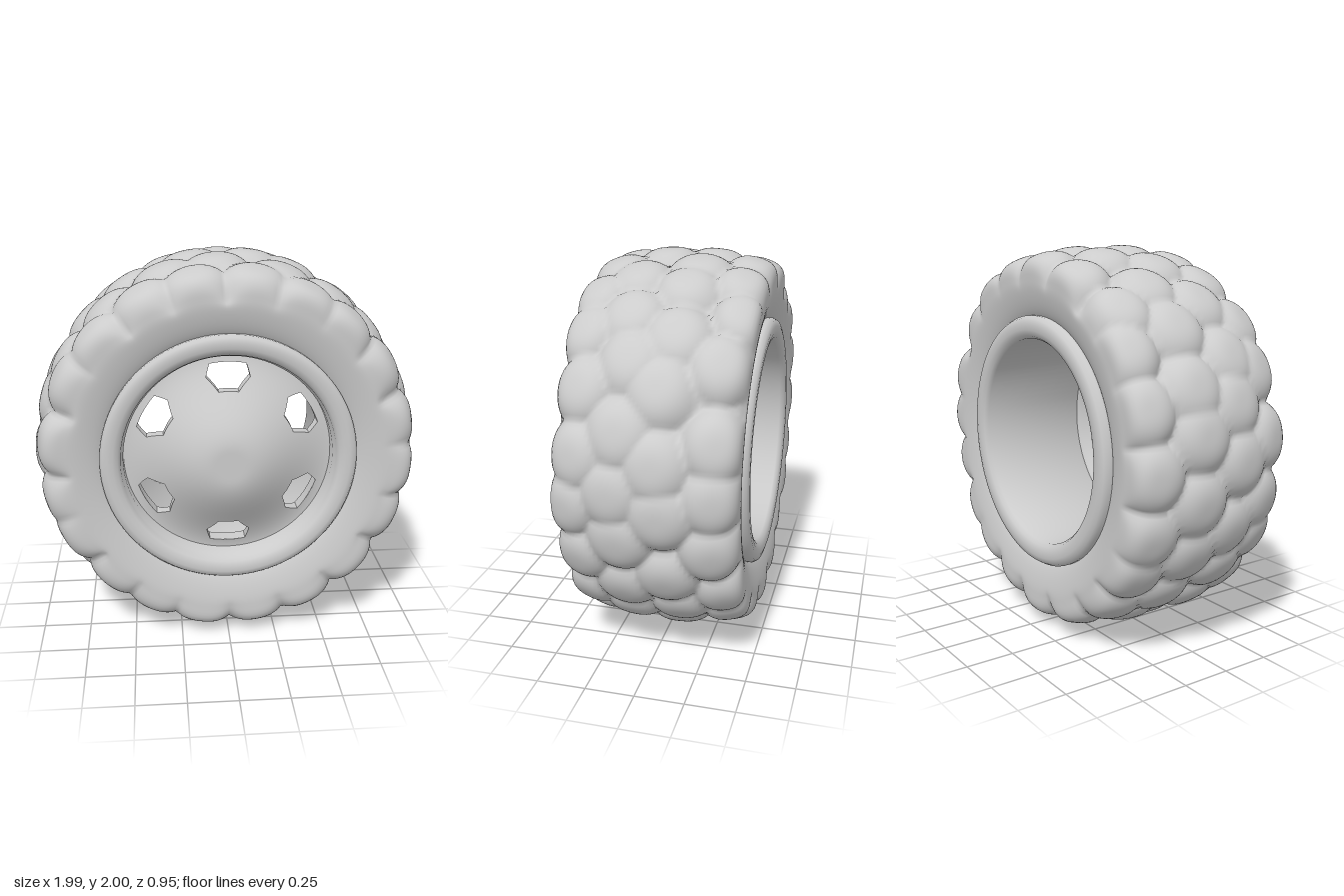
import * as THREE from 'three';
import { mergeVertices, toCreasedNormals } from 'three/addons/utils/BufferGeometryUtils.js';
import { ParametricGeometry } from 'three/addons/geometries/ParametricGeometry.js';

const { smoothstep, lerp } = THREE.MathUtils;
const material = new THREE.MeshStandardMaterial({ color: 0xcccccc });
const points = list => list.map(([r, z]) => new THREE.Vector2(r, z));

function addMesh(parent, name, geometry) {
  const mesh = new THREE.Mesh(geometry, material);
  mesh.name = name;
  parent.add(mesh);
}

// Small seeded generator for uneven lugs
let seed = 7;
function jitter(amount) {
  seed = (seed * 16807) % 2147483647;
  return (seed / 2147483647 - 0.5) * 2 * amount;
}

// Four staggered rows of irregular lugs
function makeLugs() {
  const lugs = [];
  const count = 20;
  [0.33, 0.11, -0.13, -0.38].forEach((z, row) => {
    for (let i = 0; i < count; i++) {
      lugs.push({
        angle: ((i + (row % 2) / 2) / count) * Math.PI * 2 - 0.12 + jitter(0.05),
        z: z + jitter(0.035),
        tilt: jitter(0.25),
      });
    }
  });
  return lugs;
}

// Revolved tyre whose tread sinks between flat-topped lugs
function tyreGeometry() {
  const profile = new THREE.SplineCurve(points([
    [0.6, -0.38], [0.66, -0.425], [0.74, -0.455], [0.83, -0.47], [0.92, -0.462],
    [0.963, -0.37], [0.99, -0.22], [1, -0.02], [0.99, 0.18], [0.963, 0.32],
    [0.92, 0.412], [0.83, 0.42], [0.74, 0.405], [0.66, 0.375], [0.6, 0.33],
  ])).getSpacedPoints(84);
  let geometry = new THREE.LatheGeometry(profile, 300);
  geometry.deleteAttribute('normal');
  geometry.deleteAttribute('uv');
  const lugs = makeLugs();
  const p = geometry.attributes.position;
  for (let i = 0; i < p.count; i++) {
    const x = p.getX(i), z = p.getY(i), y = p.getZ(i);
    const radius = Math.hypot(x, y), angle = Math.atan2(x, y);
    const weight = smoothstep(radius, 0.76, 0.93);
    if (weight === 0) continue;
    let nearest = 1.3;
    for (const lug of lugs) {
      const turn = angle - lug.angle;
      const da = Math.atan2(Math.sin(turn), Math.cos(turn)) / 0.18;
      const dz = (z - lug.z) / 0.155;
      if (Math.abs(da) > 1.3) continue;
      nearest = Math.min(nearest, da * da + dz * dz + lug.tilt * (da + dz));
    }
    const depth = Math.max(nearest, 0) ** 1.5 * weight;
    const scale = (radius - 0.052 * depth) / radius;
    const shoulder = smoothstep(Math.abs(z + 0.025), 0.3, 0.445);
    p.setXYZ(i, x * scale, z - Math.sign(z) * 0.02 * depth * shoulder, y * scale);
  }
  geometry = mergeVertices(geometry, 1e-4);
  geometry.computeVertexNormals();
  return geometry.rotateX(Math.PI / 2);
}

// Rim: flat-faced lips at both ends of an open barrel
function rimGeometry() {
  const profile = points([
    [0.62, -0.3], [0.62, 0.3], [0.65, 0.34], [0.652, 0.395], [0.64, 0.415], [0.615, 0.42],
    [0.585, 0.418], [0.562, 0.408], [0.548, 0.39], [0.545, 0.36], [0.535, 0.35], [0.535, -0.44],
    [0.55, -0.46], [0.58, -0.469], [0.61, -0.47], [0.638, -0.462], [0.652, -0.44],
    [0.65, -0.38], [0.62, -0.3],
  ]);
  return toCreasedNormals(new THREE.LatheGeometry(profile, 96), 0.9).rotateX(Math.PI / 2);
}

// Domed wheel face, thicker where it meets the barrel
const frontZ = r => 0.28 + 0.2 * (1 - smoothstep(r, 0.08, 0.56));
const thickness = r => 0.06 + 0.07 * smoothstep(r, 0.46, 0.54);
const innerRadius = 0.28, holeRadius = 0.42, half = holeRadius * Math.PI / 6;

// Matching corners (sideways, radial) of a hole and of the sector around it
const hole = [[0.11, 0.01], [0.08, 0.07], [-0.08, 0.07], [-0.11, 0.01], [-0.06, -0.065], [0.06, -0.065]];
const sector = [[half, 0], [half, 0.13], [-half, 0.13], [-half, 0], [-half, -0.14], [half, -0.14]];

// u runs round the hole, w from its edge to the sector's edge, drop from front to back
function facePoint(u, w, drop, target) {
  const k = Math.min(Math.floor(u * 6), 5), f = u * 6 - k, next = (k + 1) % 6;
  const at = axis => lerp(
    lerp(hole[k][axis], hole[next][axis], f),
    lerp(sector[k][axis], sector[next][axis], f), w);
  const angle = at(0) / holeRadius, r = holeRadius + at(1);
  target.set(r * Math.sin(angle), r * Math.cos(angle), frontZ(r) - drop * thickness(r));
}

function domeGeometry(back) {
  const profile = [];
  for (let i = 0; i <= 16; i++) {
    const r = innerRadius * (back ? i : 16 - i) / 16;
    profile.push(new THREE.Vector2(r, frontZ(r) - (back ? thickness(r) : 0)));
  }
  return new THREE.LatheGeometry(profile, 72).rotateX(Math.PI / 2);
}

function buildWheelFace() {
  const face = new THREE.Group();
  face.name = 'wheelFace';
  addMesh(face, 'hubDome', domeGeometry(false));
  addMesh(face, 'hubDomeBack', domeGeometry(true));
  const front = new ParametricGeometry((u, v, t) => facePoint(u, 1 - v, 0, t), 72, 10);
  const back = new ParametricGeometry((u, v, t) => facePoint(u, v, 1, t), 72, 10);
  const wall = toCreasedNormals(
    new ParametricGeometry((u, v, t) => facePoint(u, 0, v, t), 36, 1), 0.5);
  for (let i = 0; i < 6; i++) {
    const part = new THREE.Group();
    part.name = 'faceSector';
    addMesh(part, 'sectorFront', front);
    addMesh(part, 'sectorBack', back);
    addMesh(part, 'holeWall', wall);
    part.rotation.z = i * Math.PI / 3;
    face.add(part);
  }
  return face;
}

export function createModel() {
  const wheel = new THREE.Group();
  wheel.name = 'wheel';
  seed = 7;
  addMesh(wheel, 'tyre', tyreGeometry());
  addMesh(wheel, 'rim', rimGeometry());
  wheel.add(buildWheelFace());
  wheel.position.y = 1;
  const model = new THREE.Group();
  model.add(wheel);
  return model;
}
